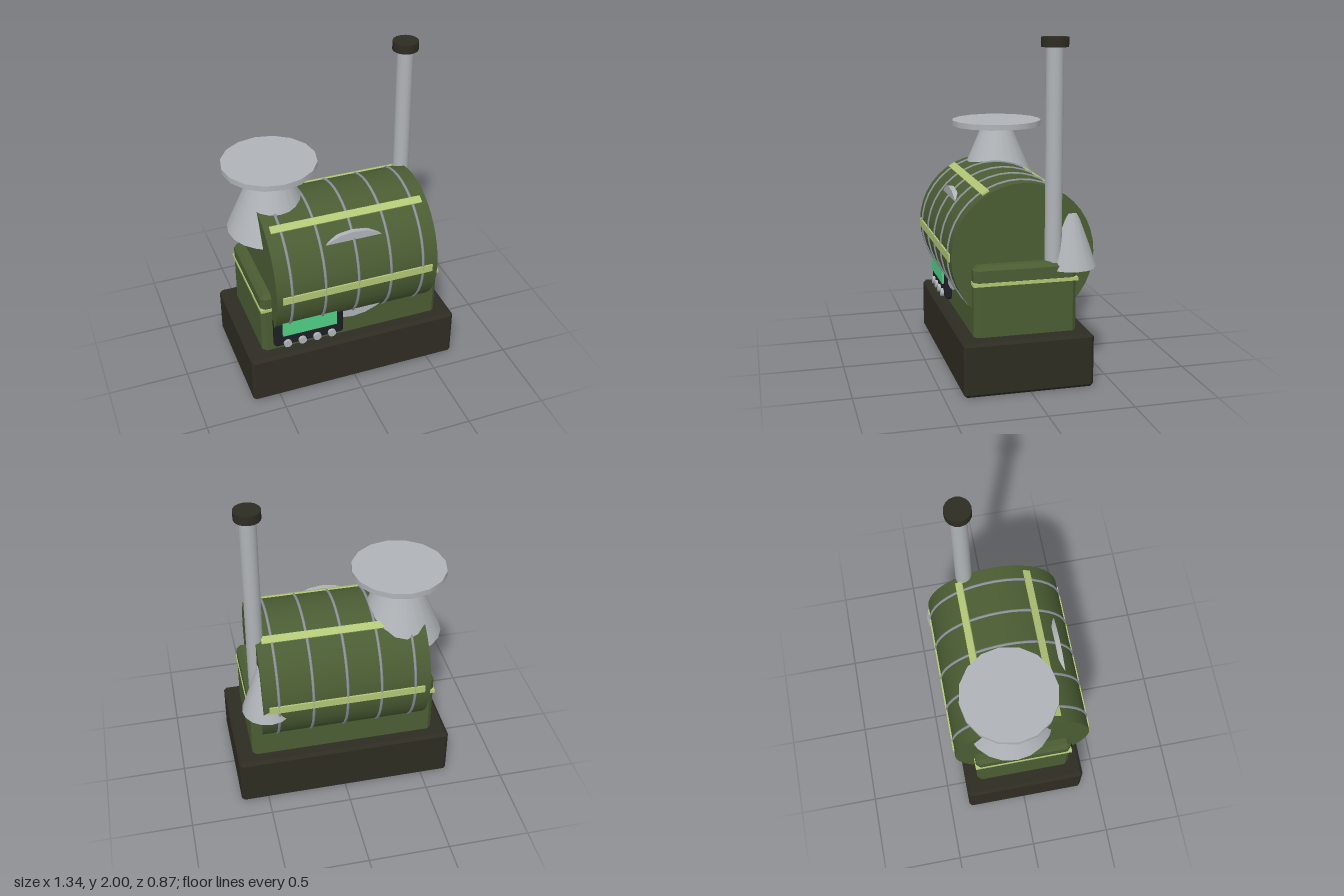
import * as THREE from 'three';
import { ConvexGeometry } from 'three/addons/geometries/ConvexGeometry.js';

const paint = (name, color) => {
  const m = new THREE.MeshStandardMaterial({ color });
  m.name = name;
  return m;
};

// Box with every edge cut at 45 degrees
function chamferBox(w, h, d, c) {
  const pts = [];
  for (const x of [-w / 2, w / 2]) for (const y of [-h / 2, h / 2]) for (const z of [-d / 2, d / 2]) {
    const ix = x - Math.sign(x) * c, iy = y - Math.sign(y) * c, iz = z - Math.sign(z) * c;
    pts.push(new THREE.Vector3(x, iy, iz), new THREE.Vector3(ix, y, iz), new THREE.Vector3(ix, iy, z));
  }
  return new ConvexGeometry(pts);
}

export function createModel() {
  const model = new THREE.Group();
  model.name = 'drumMachine';

  const olive = paint('olive green', 0x4b5d33);
  const dark = paint('dark base', 0x2e2c22);
  const trim = paint('pale yellow green', 0xb3c776);
  const metal = paint('light metal', 0xb0b4b8);
  const steel = paint('hoop steel', 0x8f949d);
  const black = paint('panel black', 0x1e1f26);
  const green = paint('screen green', 0x4fd186);

  const add = (name, geometry, material, x, y, z, parent = model) => {
    const mesh = new THREE.Mesh(geometry, material);
    mesh.name = name;
    mesh.position.set(x, y, z);
    parent.add(mesh);
    return mesh;
  };

  const cz = 0.008, drumY = 0.77, drumR = 0.42;

  // Plinth and cabinet
  add('base', chamferBox(1.34, 0.32, 0.765, 0.018), dark, 0, 0.16, cz);
  add('cabinet', chamferBox(1.15, 0.44, 0.605, 0.025), olive, 0, 0.515, cz);
  add('cabinetTrim', new THREE.BoxGeometry(1.16, 0.02, 0.615), trim, 0, 0.63, cz);

  // Drum lying along x, with hoops and lengthwise slats
  const drum = new THREE.Group();
  drum.name = 'drumAssembly';
  drum.position.set(0, drumY, cz);
  model.add(drum);
  add('drum', new THREE.CylinderGeometry(drumR, drumR, 1.02, 40), olive, 0, 0, 0, drum)
    .rotation.z = Math.PI / 2;
  for (let i = -2; i <= 2; i++) {
    add('hoop', new THREE.TorusGeometry(drumR, 0.009, 6, 40), steel, i * 0.2075, 0, 0, drum)
      .rotation.y = Math.PI / 2;
  }
  for (let i = 0; i < 6; i++) {
    const a = i * Math.PI / 3;
    add('slat', new THREE.BoxGeometry(0.95, 0.047, 0.022), trim,
      0, Math.sin(a) * 0.417, Math.cos(a) * 0.417, drum).rotation.x = -a;
  }

  // Round front hatch, mostly sunk into the drum
  add('frontHatch', new THREE.CylinderGeometry(0.318, 0.318, 0.03, 24), metal, 0, drumY, 0.32)
    .rotation.x = Math.PI / 2;

  // Hopper cone with its wide lid
  add('hopperCone', new THREE.CylinderGeometry(0.09, 0.27, 0.42, 20), metal, -0.385, 1.195, -0.055);
  add('hopperLid', new THREE.CylinderGeometry(0.285, 0.285, 0.035, 16), metal, -0.385, 1.417, -0.055);

  // Rear outlet cone
  add('outletCone', new THREE.CylinderGeometry(0.05, 0.155, 0.32, 16), metal, 0.467, 0.84, -0.282);

  // Chimney and cap
  add('chimney', new THREE.CylinderGeometry(0.05, 0.05, 1.27, 16), metal, 0.51, 1.325, -0.167);
  add('chimneyCap', new THREE.CylinderGeometry(0.078, 0.078, 0.055, 16), dark, 0.51, 1.9725, -0.167);

  // Control panel with screen and knobs
  add('controlPanel', chamferBox(0.445, 0.22, 0.05, 0.015), black, -0.288, 0.465, 0.325);
  add('screen', new THREE.BoxGeometry(0.345, 0.125, 0.025), green, -0.288, 0.508, 0.35);
  for (let i = 0; i < 4; i++) {
    add('knob', new THREE.CylinderGeometry(0.025, 0.025, 0.025, 12), metal, -0.432 + i * 0.095, 0.382, 0.355)
      .rotation.x = Math.PI / 2;
  }

  return model;
}
